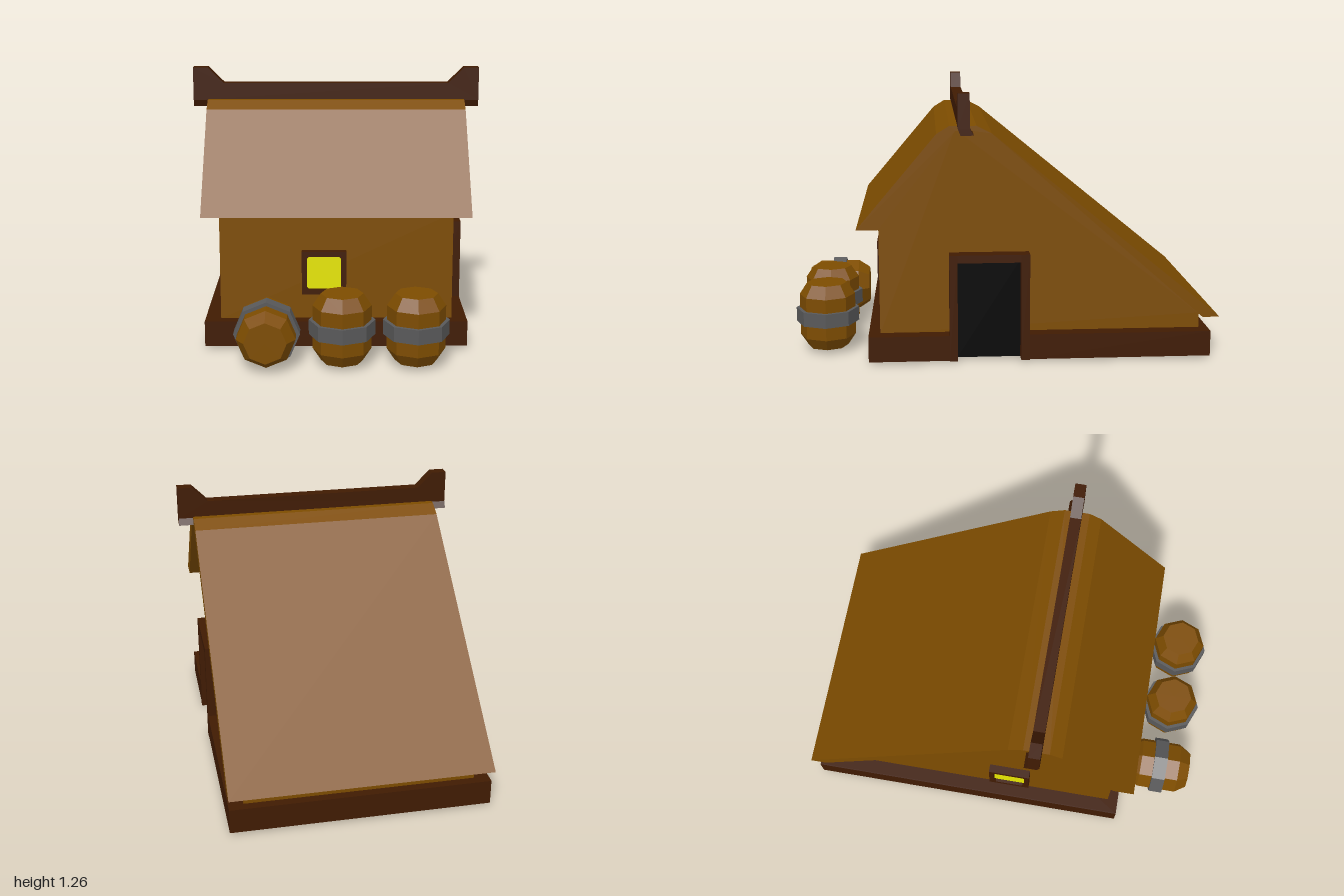
import * as THREE from 'three';

const mat = (name, color) => {
  const m = new THREE.MeshStandardMaterial({ color, flatShading: true });
  m.name = name;
  return m;
};

export function createModel() {
  const wood = mat('wood', 0x7d4c00);
  const beam = mat('dark timber', 0x401b02);
  const iron = mat('iron', 0x59595a);
  const glow = mat('window yellow', 0xe6e600);
  const black = mat('doorway black', 0x010101);

  const house = new THREE.Group();
  house.name = 'cottage';

  const add = (parent, name, geo, material) => {
    const m = new THREE.Mesh(geo, material);
    m.name = name;
    parent.add(m);
    return m;
  };
  // Box given by its limits on each axis
  const box = (parent, name, material, [x0, x1], [y0, y1], [z0, z1]) => {
    const m = add(parent, name, new THREE.BoxGeometry(x1 - x0, y1 - y0, z1 - z0), material);
    m.position.set((x0 + x1) / 2, (y0 + y1) / 2, (z0 + z1) / 2);
    return m;
  };
  const vec = (pts) => pts.map(([x, y]) => new THREE.Vector2(x, y));
  const extrude = (pts, depth, hole) => {
    const shape = new THREE.Shape(vec(pts));
    if (hole) shape.holes.push(new THREE.Path(vec(hole)));
    return new THREE.ExtrudeGeometry(shape, { depth, bevelEnabled: false }).translate(0, 0, -depth / 2);
  };
  // Profile drawn in (z, y) and extruded across x
  const across = (pts, width) => extrude(pts, width).rotateY(-Math.PI / 2);

  // Walls and roof share the line under the thatch
  const under = [[0.592, 0.639], [0.236, 1.09], [0.16, 1.09], [-0.92, 0.202]];
  add(house, 'walls', across([[0.592, 0.127], ...under, [-0.92, 0.127]], 1.08), wood);
  add(house, 'roof', across([
    [0.692, 0.639], [0.322, 1.077], [0.263, 1.113], [0.14, 1.113], [0.07, 1.077], [-1, 0.202],
    ...[...under].reverse(),
  ], 1.23), wood);

  // Ridge beam with raised ends; its foot leans back
  const ridgeHalf = [[0.54, 1.19], [0.615, 1.265], [0.686, 1.265], [0.686, 1.108]];
  const ridge = add(house, 'ridgeBeam', extrude([
    ...ridgeHalf, ...[...ridgeHalf].reverse().map(([x, y]) => [-x, y]),
  ], 0.054), beam);
  ridge.position.z = 0.2;
  add(house, 'ridgeFoot', across([[0.227, 1.108], [0.173, 1.108], [0.155, 1.077], [0.215, 1.077]], 1.372), beam);

  // Hollow foundation, with a gap at the door
  const base = new THREE.Group();
  base.name = 'foundation';
  house.add(base);
  const by = [0.011, 0.131], t = 0.005;
  box(base, 'baseFront', beam, [-0.612, 0.61], by, [0.645 - t, 0.645]);
  box(base, 'baseBack', beam, [-0.612, 0.61], by, [-0.962, -0.962 + t]);
  box(base, 'baseLeftOfDoor', beam, [0.61 - t, 0.61], by, [0.25, 0.645 - t]);
  box(base, 'baseRightOfDoor', beam, [0.61 - t, 0.61], by, [-0.962 + t, -0.09]);
  box(base, 'baseFarSide', beam, [-0.612, -0.612 + t], by, [-0.962 + t, 0.645 - t]);

  // Dark ledge above a wooden floor, both notched at the door
  for (const [name, material, y] of [['ledge', beam, [0.128, 0.131]], ['floor', wood, [0.125, 0.128]]]) {
    box(base, name, material, [-0.607, 0.45], y, [-0.957, 0.64]);
    box(base, name, material, [0.45, 0.605], y, [0.25, 0.64]);
    box(base, name, material, [0.45, 0.605], y, [-0.957, -0.09]);
  }

  // Deep door frame, with the panel set back and a wooden backing behind
  const door = new THREE.Group();
  door.name = 'door';
  house.add(door);
  const dx = [0.453, 0.611];
  box(door, 'doorJamb', beam, dx, [0.008, 0.514], [0.23, 0.268]);
  box(door, 'doorJamb', beam, dx, [0.008, 0.514], [-0.106, -0.066]);
  box(door, 'doorLintel', beam, dx, [0.477, 0.514], [-0.066, 0.23]);
  box(door, 'doorPanel', black, [0.542, 0.55], [0.008, 0.477], [-0.066, 0.23]);
  box(door, 'doorBacking', wood, [0.453, 0.459], [0.008, 0.127], [-0.066, 0.23]);

  // Windows, facing +z before placement; the opening has clipped corners
  const square = (s) => [[-s, -s], [s, -s], [s, s], [-s, s]];
  const i = 0.079, c = 0.07;
  const opening = [[-c, -i], [c, -i], [i, -c], [i, c], [c, i], [-c, i], [-i, c], [-i, -c]];
  const makeWindow = (name, depth) => {
    const g = new THREE.Group();
    g.name = name;
    add(g, 'windowFrame', extrude(square(0.103), depth, opening), beam).position.z = depth / 2;
    add(g, 'windowPane', extrude(opening, 0.008), glow).position.z = depth - 0.02;
    house.add(g);
    return g;
  };
  makeWindow('frontWindow', 0.028).position.set(-0.057, 0.357, 0.592);
  const side = makeWindow('sideWindow', 0.04);
  side.position.set(-0.54, 0.357, 0.065);
  side.rotation.y = -Math.PI / 2;

  // Eight-sided barrels with an iron hoop
  const lathe = (pts) => new THREE.LatheGeometry(vec(pts), 8);
  const staves = lathe([[0, -0.156], [0.095, -0.156], [0.132, -0.1], [0.132, 0.1], [0.095, 0.156], [0, 0.156]]);
  const hoop = lathe([[0.12, -0.034], [0.149, -0.034], [0.149, 0.034], [0.12, 0.034]]);
  const barrel = (name, x, y, z) => {
    const g = new THREE.Group();
    g.name = name;
    add(g, 'barrelStaves', staves, wood);
    add(g, 'barrelHoop', hoop, iron);
    g.position.set(x, y, z);
    house.add(g);
    return g;
  };
  barrel('standingBarrel', 0.025, 0.179, 0.849);
  barrel('standingBarrel', 0.356, 0.179, 0.849);
  barrel('lyingBarrel', -0.312, 0.149, 0.833).rotation.x = Math.PI / 2;

  return house;
}
